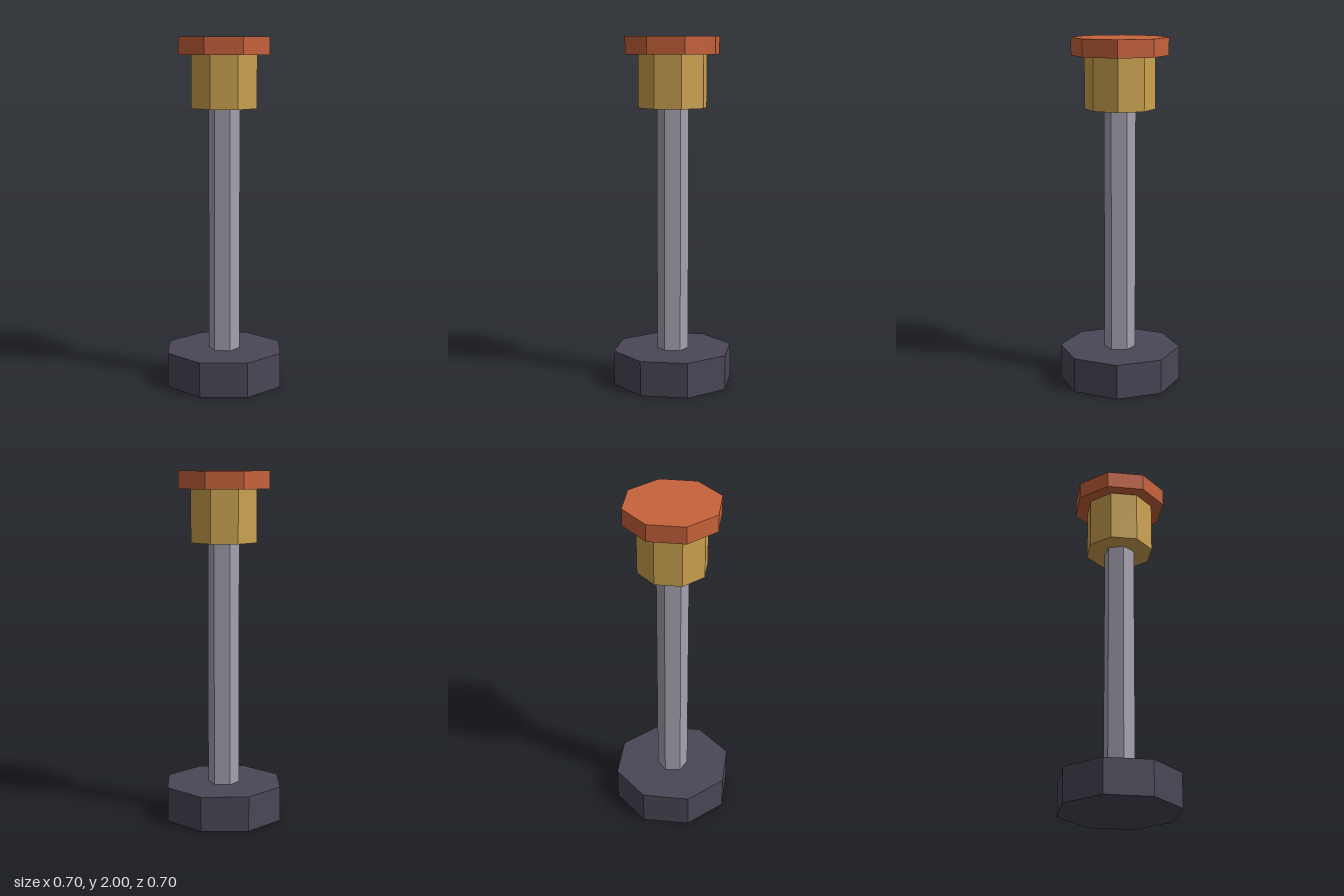
import * as THREE from 'three';

const material = (name, color) => {
  const m = new THREE.MeshStandardMaterial({ color, flatShading: true });
  m.name = name;
  return m;
};

export function createModel() {
  const group = new THREE.Group();
  group.name = 'post';

  // Upright faceted prism between two heights
  const prism = (name, radius, bottom, top, sides, mat) => {
    const mesh = new THREE.Mesh(
      new THREE.CylinderGeometry(radius, radius, top - bottom, sides), mat);
    mesh.name = name;
    mesh.position.y = (bottom + top) / 2;
    group.add(mesh);
  };

  prism('base', 0.35, 0, 0.2, 8, material('dark slate', 0x4b4656));
  prism('pole', 0.09, 0.2, 1.6, 6, material('grey metal', 0xa5a1af));
  prism('collar', 0.2, 1.6, 1.9, 8, material('brass', 0xcca350));
  prism('cap', 0.275, 1.9, 2, 8, material('burnt orange', 0xc7623b));

  return group;
}
